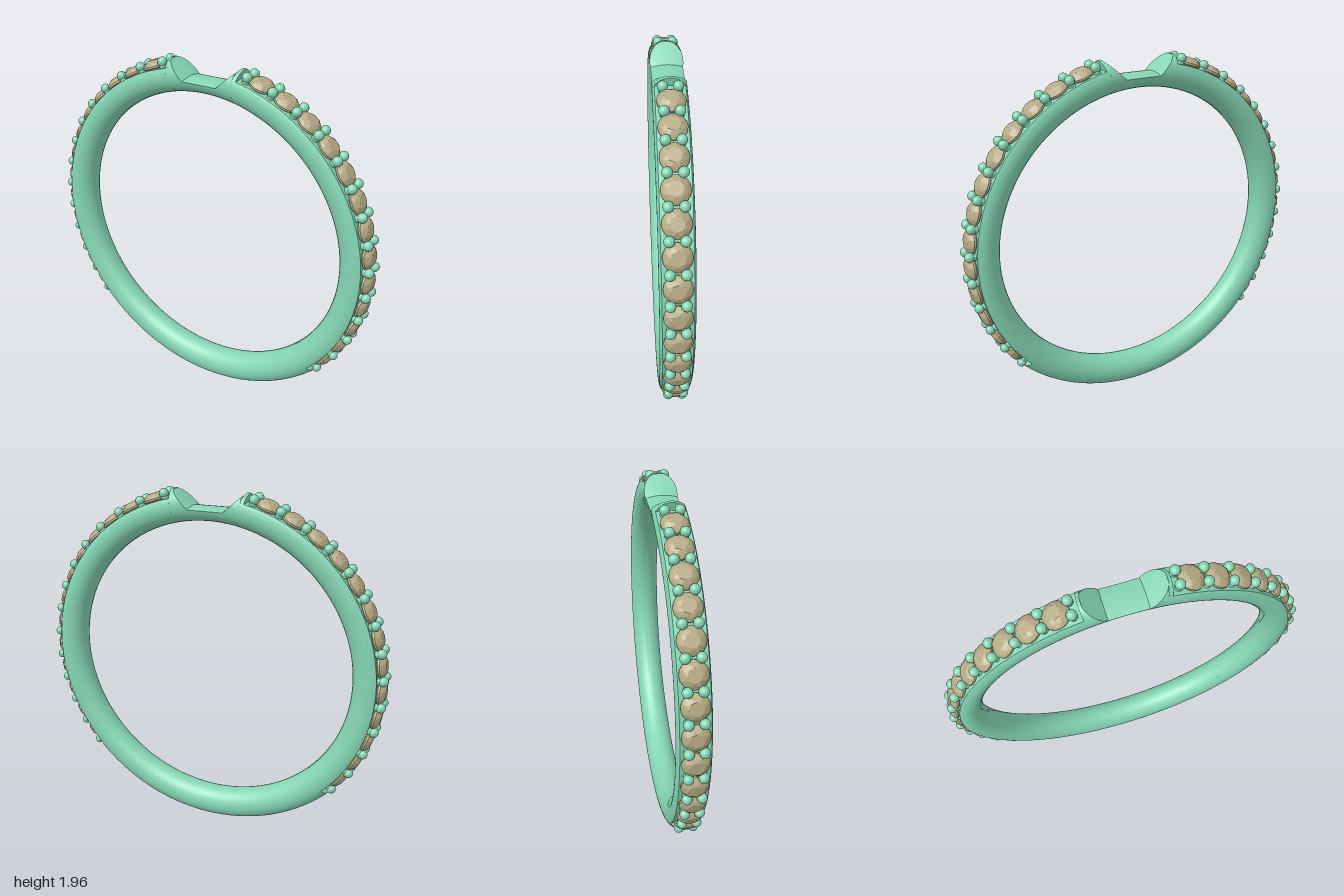
import * as THREE from 'three';
import { toCreasedNormals } from 'three/addons/utils/BufferGeometryUtils.js';
import { ConvexGeometry } from 'three/addons/geometries/ConvexGeometry.js';

const CY = 0.99;                 // ring centre height
const R = 0.9, RR = 0.09, RZ = 0.085; // centre line and section radii
const SEAT = 0.945;              // radius of the flat under the stones
const LOW = -42.3, HIGH = 77.4;  // angles where the stone seat begins and ends
const PEAK = 78.3, SADDLE = 83.55;
const FIRST = -40, LAST = 75.1, STONES = 13;
const rad = THREE.MathUtils.degToRad;

// Outer radius allowed at an angle in the notch at the top
function notchLimit(deg) {
  const s = Math.sin(rad(deg)), c = Math.cos(rad(deg));
  const flat = 0.885 / s, slope = 0.805 / (s - 0.8 * c);
  return Math.min(R + RR, deg < SADDLE ? Math.max(flat, slope) : flat);
}

// Sections of the right half, from the bottom to the top
function halfSections() {
  const list = [];
  const span = (from, to, n, limit, crown = () => 0) => {
    for (let i = 0; i <= n; i++) {
      const deg = from + (to - from) * i / n;
      list.push({ deg, limit: limit(deg), crown: crown(deg) });
    }
  };
  span(-90, LOW, 24, () => R + RR);
  span(LOW, HIGH, 60, () => SEAT);
  span(HIGH, PEAK, 2, () => R + RR);
  const crown = d => 0.012 * Math.min(1, (d - PEAK) / (SADDLE - PEAK));
  span(PEAK, SADDLE, 12, notchLimit, crown);
  span(SADDLE, 90, 6, notchLimit, crown);
  return list;
}

// Elliptical section whose outer side is cut off at the limit
function sectionPoints({ deg, limit, crown }) {
  const ARC = 40, FLAT = 8, pts = [];
  const edge = Math.min(limit - crown, R + RR - 1e-5);
  const phi0 = Math.acos((edge - R) / RR), zMax = RZ * Math.sin(phi0);
  const add = (r, z) => pts.push([r * Math.cos(rad(deg)), CY + r * Math.sin(rad(deg)), z]);
  for (let i = 0; i <= ARC; i++) {
    const phi = phi0 + (2 * Math.PI - 2 * phi0) * i / ARC;
    add(R + RR * Math.cos(phi), RZ * Math.sin(phi));
  }
  for (let i = 1; i < FLAT; i++) {
    const t = -1 + 2 * i / FLAT;
    add(edge + crown * (1 - t * t), zMax * t);
  }
  return pts;
}

function bandGeometry() {
  const right = halfSections();
  const left = right.map(s => ({ ...s, deg: 180 - s.deg })).reverse();
  const rings = [...right, ...left.slice(1)].map(sectionPoints);
  const n = rings[0].length, index = [];
  for (let i = 0; i < rings.length - 1; i++) {
    for (let j = 0; j < n; j++) {
      const k = (j + 1) % n, a = i * n, b = a + n;
      index.push(a + j, b + j, b + k, a + j, b + k, a + k);
    }
  }
  const g = new THREE.BufferGeometry();
  g.setAttribute('position', new THREE.Float32BufferAttribute(rings.flat(2), 3));
  g.setIndex(index);
  return toCreasedNormals(g, 0.55);
}

// Round faceted stone, table facing +y, girdle near y = 0
function stoneGeometry() {
  const pts = [new THREE.Vector3(0, -0.05, 0)];
  const ring = (count, r, y, turn) => {
    for (let i = 0; i < count; i++) {
      const a = (i + turn) / count * Math.PI * 2;
      pts.push(new THREE.Vector3(r * Math.cos(a), y, r * Math.sin(a)));
    }
  };
  ring(8, 0.036, 0.032, 0);
  ring(8, 0.055, 0.021, 0.5);
  ring(16, 0.069, 0.004, 0);
  ring(16, 0.069, -0.006, 0);
  return new ConvexGeometry(pts);
}

export function createModel() {
  const model = new THREE.Group();
  const metal = new THREE.MeshStandardMaterial({ color: 0x85d6b5 });
  const gem = new THREE.MeshStandardMaterial({ color: 0xb5aa85, flatShading: true });

  const band = new THREE.Mesh(bandGeometry(), metal);
  band.name = 'band';
  model.add(band);

  const stoneGeo = stoneGeometry();
  const beadGeo = new THREE.SphereGeometry(0.026, 16, 12);
  const stemGeo = new THREE.CylinderGeometry(0.02, 0.02, 0.06, 12);
  const step = (LAST - FIRST) / STONES;

  // Local frame on the rim with +y pointing outwards
  const place = (parent, name, deg, radius) => {
    const g = new THREE.Group();
    g.name = name;
    g.position.set(radius * Math.cos(rad(deg)), CY + radius * Math.sin(rad(deg)), 0);
    g.rotation.z = rad(deg - 90);
    parent.add(g);
    return g;
  };

  for (const side of ['left', 'right']) {
    const row = new THREE.Group();
    row.name = side + 'StoneRow';
    const angle = d => side === 'left' ? d : 180 - d;

    for (let i = 0; i < STONES; i++) {
      const seat = place(row, 'stone', angle(FIRST + (i + 0.5) * step), 0.957);
      seat.add(new THREE.Mesh(stoneGeo, gem));
    }
    // Pairs of beaded prongs between the stones
    for (let i = 0; i <= STONES; i++) {
      const pair = place(row, 'prongPair', angle(FIRST + i * step), 0.975);
      for (const z of [-0.037, 0.037]) {
        const bead = new THREE.Mesh(beadGeo, metal);
        bead.name = 'bead';
        bead.position.z = z;
        const stem = new THREE.Mesh(stemGeo, metal);
        stem.name = 'stem';
        stem.position.set(0, -0.03, z);
        pair.add(bead, stem);
      }
    }
    model.add(row);
  }
  return model;
}
